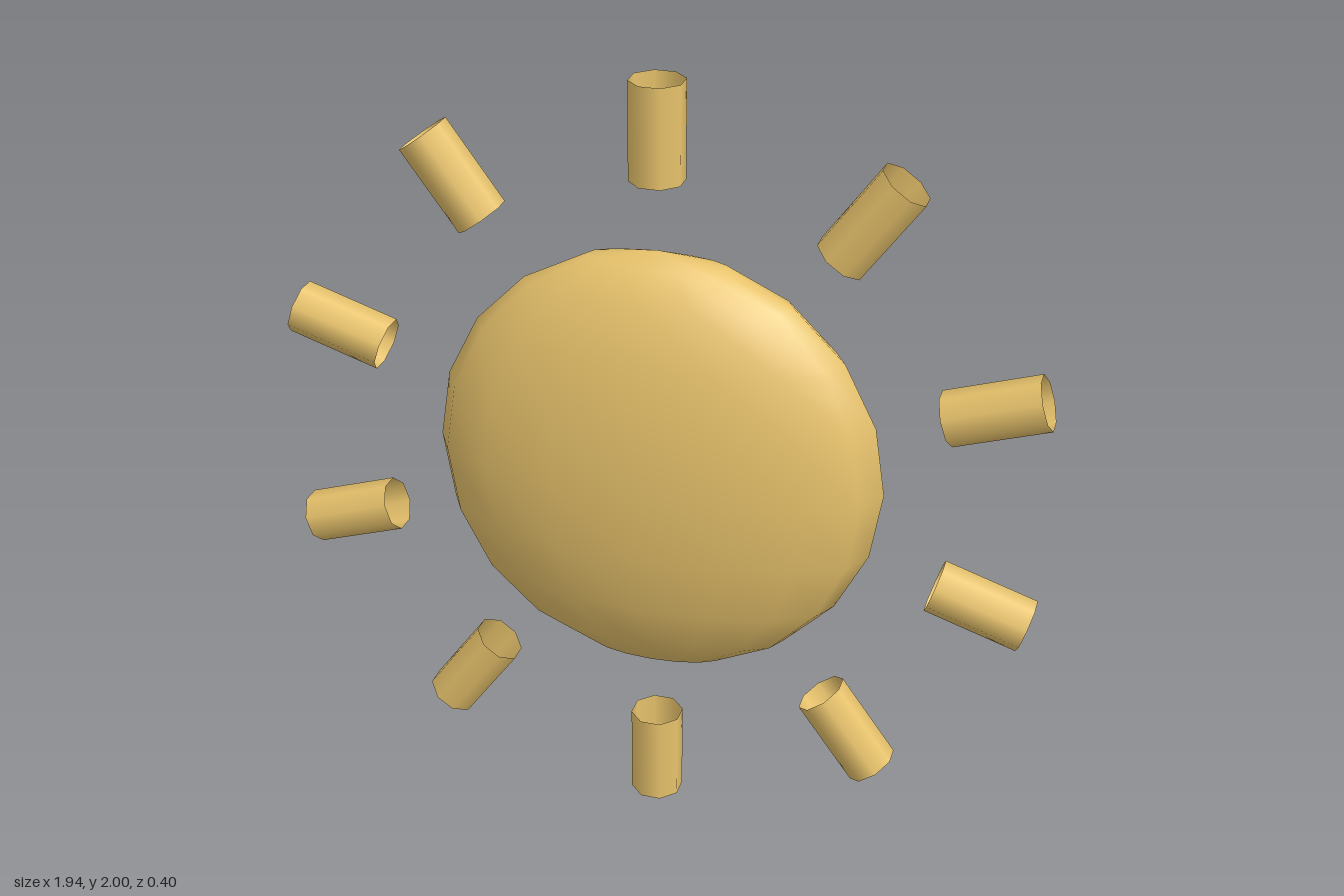
import * as THREE from 'three';

export function createModel() {
  const model = new THREE.Group();
  model.name = 'sun';
  const gold = new THREE.MeshStandardMaterial({ color: 0xe8c36c });
  const goldOpen = new THREE.MeshStandardMaterial({ color: 0xe8c36c, side: THREE.DoubleSide });

  // Flattened disc body
  const bodyGeometry = new THREE.SphereGeometry(0.578, 16, 10);
  bodyGeometry.scale(1, 1, 0.2 / 0.578);
  const body = new THREE.Mesh(bodyGeometry, gold);
  body.name = 'body';
  body.position.y = 1;
  model.add(body);

  // Ten open tubes radiating around the body
  const rays = new THREE.Group();
  rays.name = 'rays';
  rays.position.y = 1;
  const rayGeometry = new THREE.CylinderGeometry(0.0687, 0.0687, 0.245, 8, 1, true, Math.PI / 8);
  rayGeometry.translate(0, 0.8775, 0);
  for (let i = 0; i < 10; i++) {
    const ray = new THREE.Mesh(rayGeometry, goldOpen);
    ray.name = `ray${i + 1}`;
    ray.rotation.z = (i * Math.PI) / 5;
    rays.add(ray);
  }
  model.add(rays);
  return model;
}
